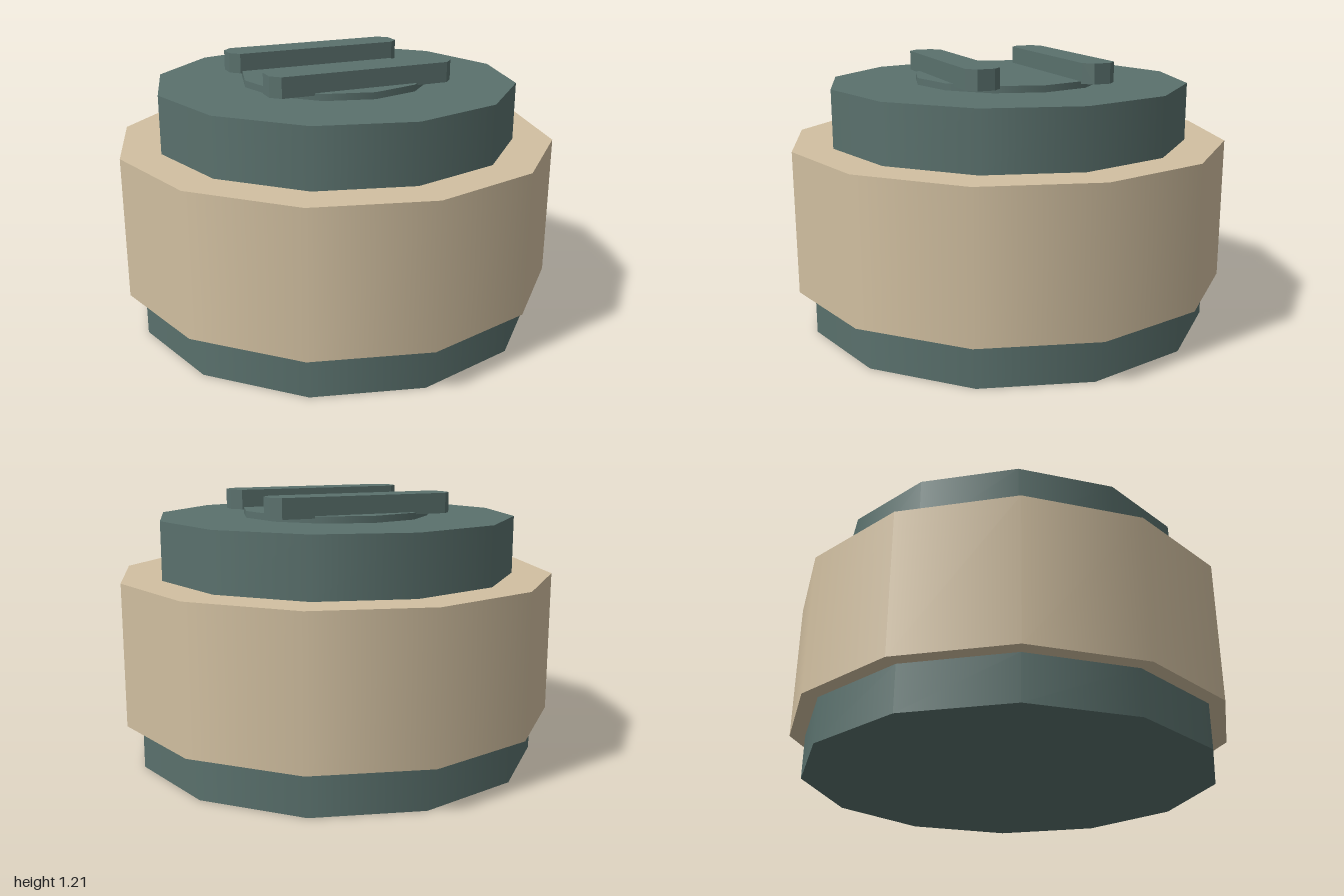
import * as THREE from 'three';

const teal = new THREE.MeshStandardMaterial({ name: 'dark teal', color: 0x5a716d });
const tan = new THREE.MeshStandardMaterial({ name: 'sand', color: 0xd2c0a1 });

export function createModel() {
  const model = new THREE.Group();
  model.name = 'lidded drum';

  const add = (name, geometry, material) => {
    const mesh = new THREE.Mesh(geometry, material);
    mesh.name = name;
    model.add(mesh);
    return mesh;
  };

  // Stacked twelve-sided drums: name, radius, bottom, top, colour
  [
    ['base', 0.93, 0, 0.2, teal],
    ['body', 1, 0.2, 0.84, tan],
    ['lid', 0.82, 0.84, 1.1, teal],
    ['lidDisc', 0.43, 1.1, 1.13, teal],
  ].forEach(([name, radius, bottom, top, material]) => {
    const drum = add(name, new THREE.CylinderGeometry(radius, radius, top - bottom, 12), material);
    drum.position.y = (bottom + top) / 2;
  });

  // Two grip bars with cut corners lying across the disc
  const w = 0.427, d = 0.078, c = 0.04;
  const outline = new THREE.Shape([
    [w - c, -d], [w, c - d], [w, d - c], [w - c, d],
    [c - w, d], [-w, d - c], [-w, c - d], [c - w, -d],
  ].map(([x, y]) => new THREE.Vector2(x, y)));
  const barGeometry = new THREE.ExtrudeGeometry(outline, { depth: 0.09, bevelEnabled: false });
  barGeometry.rotateX(-Math.PI / 2);
  for (const [name, side] of [['frontGripBar', 1], ['backGripBar', -1]]) {
    add(name, barGeometry, teal).position.set(0, 1.12, side * 0.268);
  }

  return model;
}
